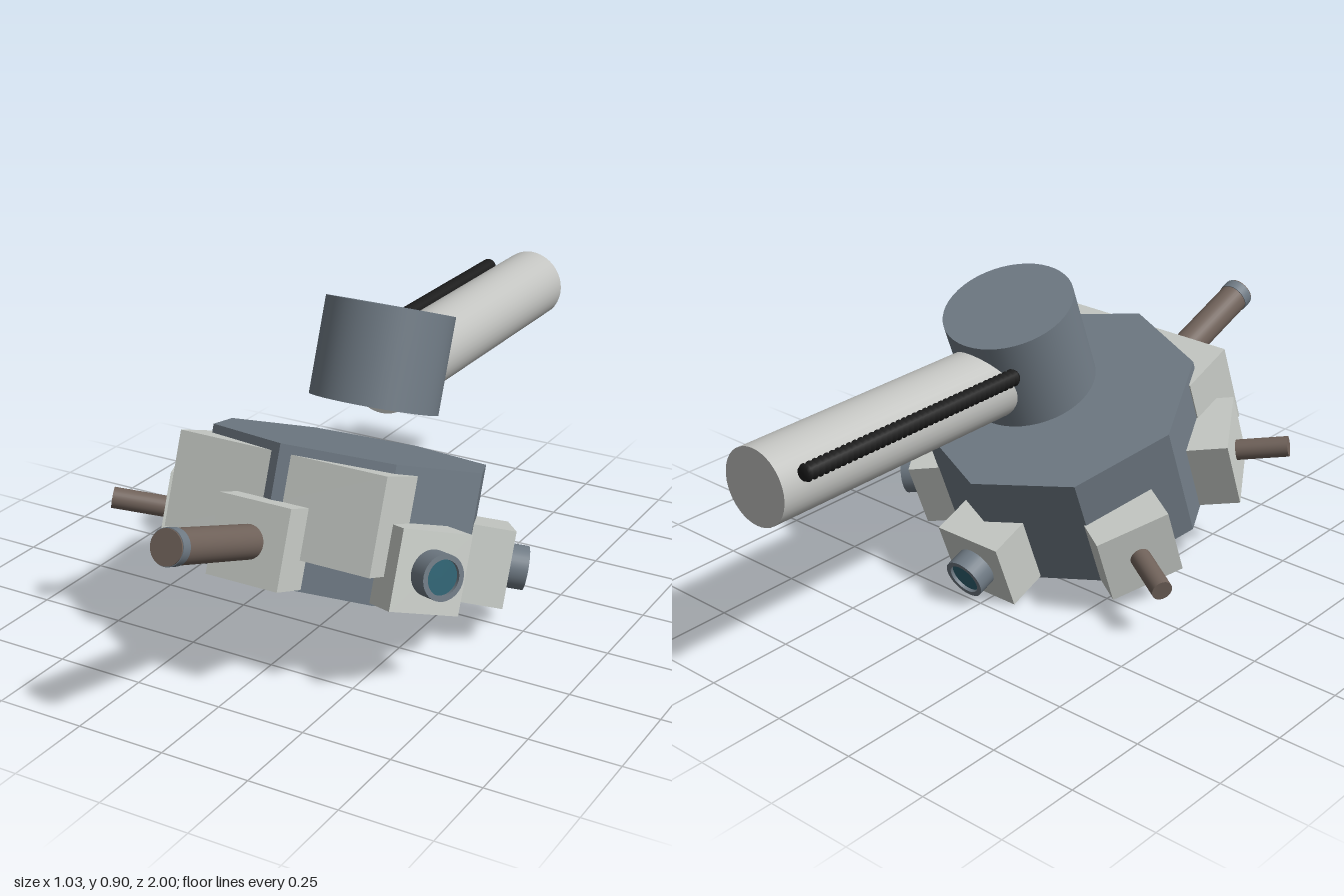
import * as THREE from 'three';

const TILT = -0.36;
const mat = (name, color, extra = {}) => {
  const m = new THREE.MeshStandardMaterial({ color, ...extra });
  m.name = name;
  return m;
};

export function createModel() {
  const steel = mat('blue grey steel', 0x6f7a84);
  const steelFlat = mat('blue grey steel', 0x6f7a84);
  steelFlat.flatShading = true;
  const housing = mat('pale housing', 0xc8ccc7);
  const pipe = mat('light grey pipe', 0xc2c3c0);
  const brown = mat('brown barrel', 0x70625a);
  const glass = mat('teal glass', 0x2f6272);
  const black = mat('black cable', 0x1c1c1c);

  const model = new THREE.Group();
  model.name = 'turretHead';

  const add = (parent, name, geometry, material, x = 0, y = 0, z = 0) => {
    const m = new THREE.Mesh(geometry, material);
    m.name = name;
    m.position.set(x, y, z);
    parent.add(m);
    return m;
  };
  // cylinder lying along z, from z0 to z1
  const rod = (r, z0, z1, sides = 32) =>
    new THREE.CylinderGeometry(r, r, z1 - z0, sides).rotateX(Math.PI / 2).translate(0, 0, (z0 + z1) / 2);

  // tilted octagonal head
  const head = new THREE.Group();
  head.name = 'head';
  head.position.set(0.03, 0.338, 0.18);
  head.rotation.x = TILT;
  model.add(head);
  add(head, 'headDrum', new THREE.CylinderGeometry(0.39, 0.39, 0.363, 8), steelFlat);
  add(head, 'frontPanel', new THREE.BoxGeometry(0.615, 0.256, 0.17), housing, 0, 0.03, 0.293);

  // hollow lens barrel, profile turned around its axis
  const lensProfile = [[0.061, 0.45], [0.061, 0.522], [0.047, 0.522], [0.047, 0.5]];
  const lensGeometry = () => {
    const parts = new THREE.Group();
    parts.name = 'lens';
    for (let i = 0; i < lensProfile.length - 1; i++) {
      const pts = [lensProfile[i], lensProfile[i + 1]].map(p => new THREE.Vector2(...p));
      add(parts, 'lensBarrel', new THREE.LatheGeometry(pts, 32).rotateX(Math.PI / 2), steel);
    }
    add(parts, 'lensGlass', new THREE.CircleGeometry(0.047, 32), glass, 0, 0, 0.512);
    return parts;
  };

  // six modules around the drum: one main barrel, two thin barrels, three lenses
  const kinds = ['main', 'lens', 'lens', 'lens', 'thin', 'thin'];
  kinds.forEach((kind, i) => {
    const module = new THREE.Group();
    module.name = kind + 'Module';
    module.position.y = -0.07;
    module.rotation.y = i * Math.PI / 3;
    head.add(module);
    add(module, 'moduleHousing', new THREE.BoxGeometry(0.212, 0.212, 0.212), housing, 0, 0, 0.36);
    if (kind === 'lens') module.add(lensGeometry());
    if (kind === 'thin') add(module, 'thinBarrel', rod(0.029, 0.45, 0.613), brown);
    if (kind === 'main') {
      add(module, 'mainBarrel', rod(0.045, 0.45, 0.834), brown);
      add(module, 'muzzleRing', rod(0.047, 0.8, 0.83), steel);
    }
  });

  // neck joint floating above the head
  const joint = add(model, 'neckJoint', new THREE.CylinderGeometry(0.18, 0.18, 0.272, 48), steel, 0.03, 0.715, -0.045);
  joint.rotation.x = TILT;

  // neck pipe running backwards
  add(model, 'neckPipe', rod(0.104, -1, -0.04, 40), pipe, 0.03, 0.65, 0);

  // ribbed cable beside the pipe
  const ribs = 40, length = 0.75;
  const profile = [new THREE.Vector2(0, 0)];
  for (let i = 0; i <= ribs * 2; i++) {
    profile.push(new THREE.Vector2(i % 2 ? 0.024 : 0.019, (i / (ribs * 2)) * length));
  }
  profile.push(new THREE.Vector2(0, length));
  add(model, 'ribbedCable', new THREE.LatheGeometry(profile, 16).rotateX(Math.PI / 2), black, -0.088, 0.705, -0.95);

  return model;
}
